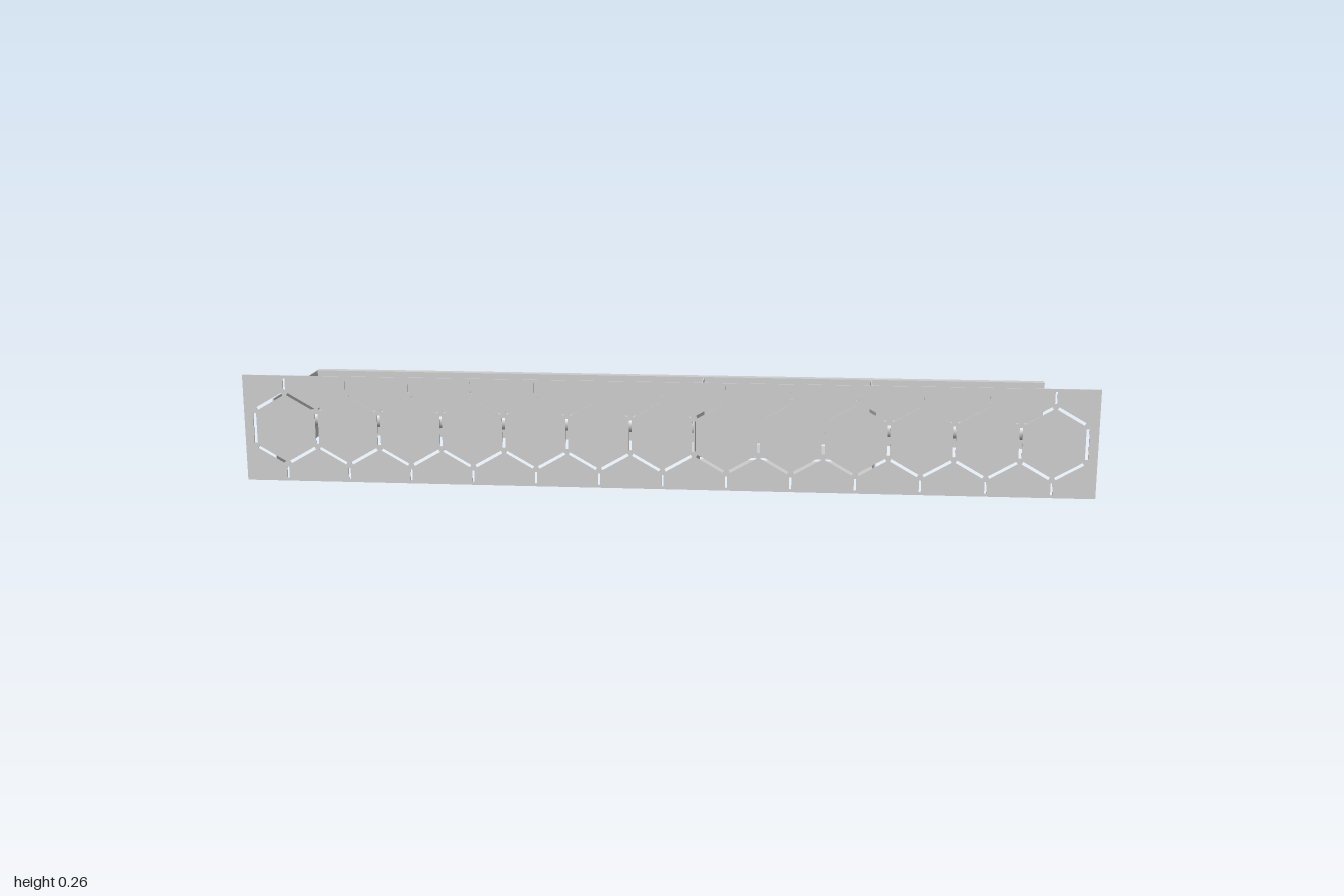
import * as THREE from 'three';

const material = new THREE.MeshStandardMaterial({ color: 0xcccccc, side: THREE.DoubleSide });

export function createModel() {
  const group = new THREE.Group();

  const add = (name, geometry) => {
    const mesh = new THREE.Mesh(geometry, material);
    mesh.name = name;
    group.add(mesh);
    return mesh;
  };
  // Box given by its limits on each axis
  const box = (name, x0, x1, y0, y1, z0, z1) => {
    const mesh = add(name, new THREE.BoxGeometry(x1 - x0, y1 - y0, z1 - z0));
    mesh.position.set((x0 + x1) / 2, (y0 + y1) / 2, (z0 + z1) / 2);
  };
  const rectangle = (x0, x1, y0, y1) => new THREE.Shape([
    new THREE.Vector2(x0, y0), new THREE.Vector2(x1, y0),
    new THREE.Vector2(x1, y1), new THREE.Vector2(x0, y1)]);
  // Cylinder lying along x
  const rod = (name, x0, x1, radius) => {
    const geometry = new THREE.CylinderGeometry(radius, radius, x1 - x0, 40).rotateZ(Math.PI / 2);
    add(name, geometry).position.set((x0 + x1) / 2, 0.115, 0.008);
  };

  const wall = 0.003;
  const left = 0.925, right = -0.93;
  const bottom = 0.03, top = 0.2;
  const back = -0.185, backWall = -0.163, front = 0.182;

  // Front panel cut by a row of hexagons drawn as separate slots
  const panel = rectangle(-1, 1, 0, 0.257);
  const slot = (ax, ay, bx, by, gap = 0.007, width = 0.0075) => {
    const a = new THREE.Vector2(ax, ay), b = new THREE.Vector2(bx, by);
    const d = b.clone().sub(a).normalize();
    const n = new THREE.Vector2(-d.y, d.x).multiplyScalar(width / 2);
    a.addScaledVector(d, gap);
    b.addScaledVector(d, -gap);
    panel.holes.push(new THREE.Path([
      a.clone().add(n), a.clone().sub(n), b.clone().sub(n), b.clone().add(n)]));
  };
  const pitch = 0.15, side = pitch / Math.sqrt(3), mid = 0.1285;
  for (let i = 0; i < 13; i++) {
    const x = -0.9 + pitch * i;
    slot(x - pitch / 2, mid - side / 2, x - pitch / 2, mid + side / 2);
    for (const s of [-1, 1]) {
      slot(x - pitch / 2, mid + s * side / 2, x, mid + s * side);
      slot(x, mid + s * side, x + pitch / 2, mid + s * side / 2);
      slot(x, mid + s * side, x, mid + s * 0.1285, 0.007, 0.005);
    }
  }
  slot(0.975, mid - side / 2, 0.975, mid + side / 2);
  add('frontPanel', new THREE.ExtrudeGeometry(panel, { depth: wall, bevelEnabled: false }))
    .position.z = front;

  // Back wall with a rim along its top and ends, open below
  box('backWall', right, left, bottom, top, backWall - wall, backWall);
  box('backTopRim', right, left, top - wall, top, back, backWall);
  box('backLeftRim', left - wall, left, bottom, top, back, backWall);
  box('backRightRim', right, right + wall, bottom, top, back, backWall);

  // Keyhole hanger pads inside the rim
  for (const x of [-0.825, 0.815]) {
    const pad = rectangle(-0.028, 0.028, 0.1, top - wall);
    const hole = new THREE.Path();
    hole.absarc(0, 0.13, 0.015, Math.PI * 0.66, Math.PI * 2.34, false);
    hole.absarc(0, 0.172, 0.007, 0, Math.PI, false);
    hole.closePath();
    pad.holes.push(hole);
    add('keyholeHanger', new THREE.ExtrudeGeometry(pad, {
      depth: backWall - back - wall, bevelEnabled: false, curveSegments: 16
    })).position.set(x, 0, back);
  }

  // End wall, two dividers and the two-strip floor between them
  const dividers = [0.075, 0.495];
  box('endWall', right, right + wall, bottom, top, backWall, front);
  for (const x of dividers) box('divider', x - wall / 2, x + wall / 2, bottom, top, backWall, front);
  for (const [z0, z1] of [[-0.137, -0.012], [0.02, 0.15]]) {
    box('floorStrip', dividers[0], dividers[1], bottom, bottom + wall, z0, z1);
  }

  // Holder rods on either side, the short one with an end disc
  rod('longRod', right + wall, dividers[0], 0.02);
  rod('shortRod', dividers[1], left, 0.02);
  rod('rodEndDisc', left - 0.01, left, 0.0275);

  return group;
}
